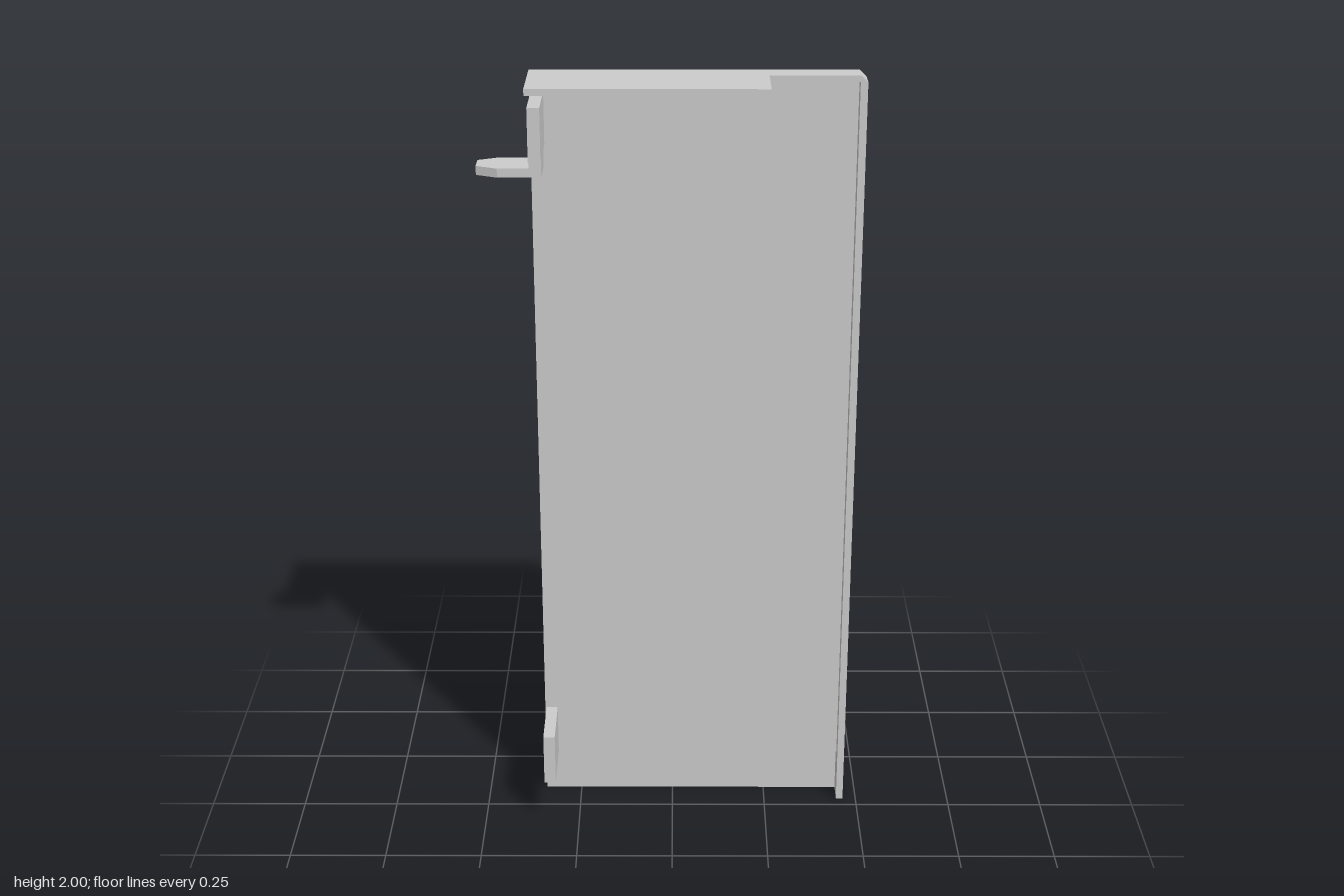
import * as THREE from 'three';
import { ConvexGeometry } from 'three/addons/geometries/ConvexGeometry.js';

const material = new THREE.MeshStandardMaterial({ color: 0xcccccc, flatShading: true });

function add(group, name, geometry) {
  const mesh = new THREE.Mesh(geometry, material);
  mesh.name = name;
  group.add(mesh);
}

// Box given by its minimum and maximum on each axis
function block(x0, x1, y0, y1, z0, z1) {
  return new THREE.BoxGeometry(x1 - x0, y1 - y0, z1 - z0)
    .translate((x0 + x1) / 2, (y0 + y1) / 2, (z0 + z1) / 2);
}

// Outline in x, y pushed from z0 to z1
function slab(points, z0, z1) {
  const shape = new THREE.Shape(points.map(([x, y]) => new THREE.Vector2(x, y)));
  return new THREE.ExtrudeGeometry(shape, { depth: z1 - z0, bevelEnabled: false }).translate(0, 0, z0);
}

export function createModel() {
  const group = new THREE.Group();
  group.name = 'coverPanel';

  const left = -0.345, right = 0.465, top = 2, bevel = 0.016;
  const back = -0.11, skin = -0.09, inner = -0.067, rim = -0.03;
  const bx = right - bevel, by = top - bevel;

  // Outer skin with bevelled top and side edges
  const backFace = [[left, 0], [bx, 0], [bx, by], [left, by]];
  const frontFace = [[left, 0], [right, 0], [right, by], [bx, top], [left, top]];
  add(group, 'outerSkin', new ConvexGeometry([
    ...backFace.map(([x, y]) => new THREE.Vector3(x, y, back)),
    ...frontFace.map(([x, y]) => new THREE.Vector3(x, y, skin)),
  ]));

  // Thicker inner panel, notched at the upper corner
  add(group, 'innerPanel', slab([
    [-0.34, 0.127], [bx, 0.127], [bx, by], [-0.127, by], [-0.127, 1.952], [-0.34, 1.952],
  ], skin, inner));

  // Side wall and top flange
  add(group, 'sideWall', block(bx - 0.002, right, 0, by, skin, rim));
  add(group, 'topFlange', slab([[left, by], [right, by], [bx, top], [left, top]], skin, rim));
  add(group, 'topLip', block(left, 0.23, by, top, rim, 0.107));

  // Clips standing on the inner panel
  const c0 = -0.34, c1 = -0.31;
  add(group, 'lowerClip', block(c0, c1, 0.127, 0.265, inner, 0.094));
  add(group, 'upperClip', block(c0, c1, 1.822, 1.952, inner, 0.094));
  add(group, 'clipNeck', block(c0, c1, 1.78, 1.822, -0.024, 0.076));

  // Tapered tongue pointing sideways
  const tongue = slab([
    [c1, 0.024], [-0.415, 0.024], [-0.467, 0], [-0.467, -0.052], [-0.415, -0.076], [c1, -0.076],
  ], 1.78, 1.802);
  add(group, 'tongue', tongue.rotateX(-Math.PI / 2));

  return group;
}
